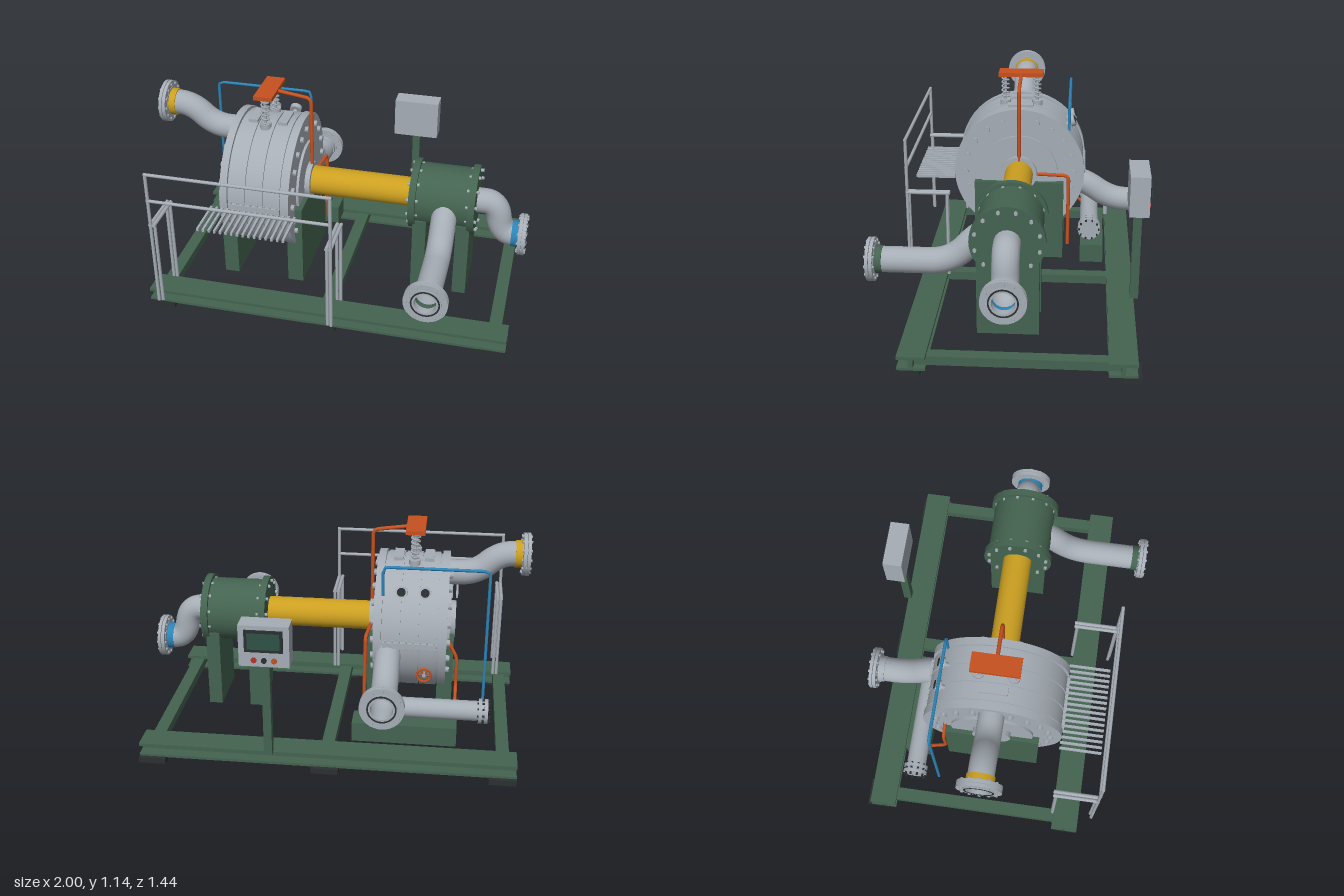
import * as THREE from 'three';
import { mergeGeometries } from 'three/addons/utils/BufferGeometryUtils.js';

const V = (x, y, z) => new THREE.Vector3(x, y, z);
const paint = (name, color, side = THREE.FrontSide) => {
  const m = new THREE.MeshStandardMaterial({ color, side });
  m.name = name;
  return m;
};

export function createModel() {
  const root = new THREE.Group();
  root.name = 'turbineSkid';
  const grey = paint('greySteel', 0xa6adb5, THREE.DoubleSide);
  const green = paint('greenPaint', 0x446350);
  const yellow = paint('yellowPaint', 0xcb9f20);
  const orange = paint('orangePaint', 0xc6511f);
  const blue = paint('bluePaint', 0x2b84b8);
  const black = paint('blackRubber', 0x2c2f31);
  const screenMat = paint('screenGreen', 0x2f5246);
  const red = paint('redButton', 0xb8322a);

  const add = (name, geo, mat, parent = root) => {
    const m = new THREE.Mesh(geo, mat);
    m.name = name;
    parent.add(m);
    return m;
  };
  // box given by its min and max on each axis
  const box = (name, mat, x0, x1, y0, y1, z0, z1) => {
    const m = add(name, new THREE.BoxGeometry(x1 - x0, y1 - y0, z1 - z0), mat);
    m.position.set((x0 + x1) / 2, (y0 + y1) / 2, (z0 + z1) / 2);
    return m;
  };
  // cylinder between two points
  const rod = (name, mat, a, b, r, seg = 16) => {
    const d = b.clone().sub(a);
    const m = add(name, new THREE.CylinderGeometry(r, r, d.length(), seg), mat);
    m.position.copy(a).addScaledVector(d, 0.5);
    m.quaternion.setFromUnitVectors(V(0, 1, 0), d.normalize());
    return m;
  };
  const drum = (name, mat, x0, x1, r, y = 0.605, z = 0) => rod(name, mat, V(x0, y, z), V(x1, y, z), r, 48);
  // straight runs joined by rounded corners
  const pipe = (name, mat, pts, r, bend, seg = 20, steps = 48) => {
    const path = new THREE.CurvePath();
    let from = pts[0];
    for (let i = 1; i < pts.length - 1; i++) {
      const p = pts[i];
      const back = pts[i - 1].clone().sub(p), on = pts[i + 1].clone().sub(p);
      const a = p.clone().addScaledVector(back.clone().normalize(), Math.min(bend, back.length() * 0.49));
      const b = p.clone().addScaledVector(on.clone().normalize(), Math.min(bend, on.length() * 0.49));
      path.add(new THREE.LineCurve3(from, a));
      path.add(new THREE.QuadraticBezierCurve3(a, p, b));
      from = b;
    }
    path.add(new THREE.LineCurve3(from, pts[pts.length - 1]));
    return add(name, new THREE.TubeGeometry(path, steps, r, seg), mat);
  };
  // hex bolts in a circle, standing along z
  const boltCircle = (n, radius, size, length, z, phase = 0) => mergeGeometries(
    Array.from({ length: n }, (_, i) => {
      const a = phase + (i / n) * Math.PI * 2;
      return new THREE.CylinderGeometry(size, size, length, 6).rotateX(Math.PI / 2)
        .translate(Math.cos(a) * radius, Math.sin(a) * radius, z);
    }));
  const ring = (ro, ri, z0, z1) => {
    const s = new THREE.Shape().absarc(0, 0, ro, 0, Math.PI * 2);
    s.holes.push(new THREE.Path().absarc(0, 0, ri, 0, Math.PI * 2, true));
    return new THREE.ExtrudeGeometry(s, { depth: z1 - z0, bevelEnabled: false, curveSegments: 24 }).translate(0, 0, z0);
  };
  // open pipe flange with a colour band; end is the face centre, dir points outward
  const flange = (name, end, dir, bandMat) => {
    const g = new THREE.Group();
    g.name = name;
    add('flangeFace', ring(0.112, 0.058, -0.02, -0.004), grey, g);
    add('flangeBack', ring(0.112, 0.058, -0.04, -0.023), grey, g);
    add('raisedFace', ring(0.08, 0.056, -0.042, 0), grey, g);
    add('gasket', ring(0.074, 0.066, 0, 0.002), black, g);
    add('flangeBolts', boltCircle(12, 0.096, 0.008, 0.052, -0.022), grey, g);
    add('colourBand', ring(0.071, 0.06, -0.078, -0.043), bandMat, g);
    g.position.copy(end);
    g.quaternion.setFromUnitVectors(V(0, 0, 1), dir);
    root.add(g);
  };

  // Skid frame: two I-beam rails, cross beams and feet
  for (const z of [0.45, -0.57]) {
    box('railTop', green, -0.97, 0.97, 0.085, 0.102, z - 0.07, z + 0.07);
    box('railWeb', green, -0.97, 0.97, 0.04, 0.086, z - 0.012, z + 0.012);
    box('railBottom', green, -0.97, 0.97, 0.028, 0.042, z - 0.07, z + 0.07);
    for (const x of [-0.9, 0, 0.9]) {
      const c = z > 0 ? 0.465 : -0.603;
      box('foot', black, x - 0.07, x + 0.07, 0, 0.03, c - 0.058, c + 0.058);
    }
  }
  for (const x of [-0.9, 0, 0.9]) box('crossBeam', green, x - 0.033, x + 0.033, 0.04, 0.088, -0.56, 0.44);

  // Pedestals
  for (const [x0, x1] of [[-0.625, -0.545], [-0.26, -0.175]]) box('turbinePedestal', green, x0, x1, 0.095, 0.555, -0.25, 0.25);
  for (const x of [0.405, 0.635]) box('generatorPedestal', green, x, x + 0.072, 0.095, 0.52, -0.155, 0.155);
  box('coolerSupport', green, -0.66, -0.12, 0.1, 0.205, -0.48, -0.35);

  // Turbine casing: banded drum, end flanges, hubs and bolts
  drum('casing', grey, -0.57, -0.23, 0.348);
  for (const [a, b] of [[-0.538, -0.452], [-0.444, -0.358], [-0.35, -0.264]]) drum('casingBand', grey, a, b, 0.357);
  drum('casingFlangeRight', grey, -0.588, -0.548, 0.365);
  drum('casingFlangeLeft', grey, -0.254, -0.214, 0.365);
  drum('hubLeft', grey, -0.22, -0.2, 0.215);
  drum('hubRight', grey, -0.602, -0.58, 0.215);
  for (const [a, b] of [[-0.215, -0.172], [-0.63, -0.6]]) drum('shaftSeal', grey, a, b, 0.1);
  for (const x of [-0.568, -0.234]) {
    const b = add('casingBolts', boltCircle(20, 0.305, 0.018, 0.076, 0).rotateY(Math.PI / 2), grey);
    b.position.set(x, 0.605, 0);
  }
  for (const s of [-1, 1]) {
    box('splitFlange', grey, -0.54, -0.262, 0.59, 0.62, s * 0.358 - 0.014, s * 0.358 + 0.014);
    for (let i = 0; i < 8; i++) {
      const x = -0.525 + i * 0.0355;
      rod('splitBolt', grey, V(x, 0.58, s * 0.364), V(x, 0.63, s * 0.364), 0.006, 6);
    }
  }

  // Spring-loaded relief gear on top
  box('reliefPlate', orange, -0.455, -0.355, 1.115, 1.137, -0.125, 0.125);
  class Helix extends THREE.Curve {
    getPoint(t, target = new THREE.Vector3()) {
      const a = t * Math.PI * 12;
      return target.set(Math.cos(a) * 0.019, t * 0.145, Math.sin(a) * 0.019);
    }
  }
  const coil = new THREE.TubeGeometry(new Helix(), 120, 0.005, 6);
  for (const z of [-0.09, 0.09]) {
    add('spring', coil, grey).position.set(-0.405, 0.97, z);
    rod('springRod', grey, V(-0.405, 0.93, z), V(-0.405, 1.118, z), 0.008, 10);
    rod('springSeat', grey, V(-0.405, 0.93, z), V(-0.405, 0.972, z), 0.03);
  }
  for (const x of [-0.48, -0.32]) box('liftingPad', grey, x - 0.025, x + 0.025, 0.94, 0.972, -0.07, 0.07);

  // Gauges on the rear shoulder of the casing
  for (const x of [-0.47, -0.35]) {
    rod('gaugeStem', grey, V(x, 0.83, -0.24), V(x, 0.865, -0.285), 0.012);
    rod('gaugeBody', grey, V(x, 0.865, -0.28), V(x, 0.875, -0.305), 0.032, 24);
    rod('gaugeFace', black, V(x, 0.875, -0.304), V(x, 0.876, -0.308), 0.022, 24);
  }

  // Handwheel valve
  rod('valveStem', grey, V(-0.48, 0.43, -0.27), V(-0.48, 0.43, -0.345), 0.01, 10);
  add('handwheel', new THREE.TorusGeometry(0.036, 0.006, 8, 24), orange).position.set(-0.48, 0.43, -0.338);
  for (let i = 0; i < 3; i++) {
    const a = (i * Math.PI) / 3, dx = Math.cos(a) * 0.036, dy = Math.sin(a) * 0.036;
    rod('wheelSpoke', orange, V(-0.48 - dx, 0.43 - dy, -0.338), V(-0.48 + dx, 0.43 + dy, -0.338), 0.004, 6);
  }

  // Drive shaft guard and generator
  drum('shaftGuard', yellow, -0.176, 0.39, 0.078);
  drum('generatorBody', green, 0.4, 0.71, 0.168);
  for (const x of [0.38, 0.69]) {
    drum('generatorFlange', green, x, x + 0.036, 0.187);
    add('generatorBolts', boltCircle(12, 0.163, 0.01, 0.062, 0, Math.PI / 12).rotateY(Math.PI / 2), grey).position.set(x + 0.018, 0.605, 0);
  }

  // Main pipes with flanged ends
  pipe('steamPipe', grey, [V(-0.55, 0.877, 0), V(-0.72, 0.877, 0), V(-0.845, 0.992, 0), V(-0.99, 0.992, 0)], 0.066, 0.085);
  flange('steamFlange', V(-0.998, 0.992, 0), V(-1, 0, 0), yellow);
  pipe('endPipe', grey, [V(0.7, 0.605, 0), V(0.83, 0.605, 0), V(0.86, 0.423, 0), V(0.99, 0.423, 0)], 0.067, 0.09);
  flange('endFlange', V(0.998, 0.423, 0), V(1, 0, 0), blue);
  pipe('frontPipe', grey, [V(0.57, 0.6, 0), V(0.57, 0.6, 0.13), V(0.57, 0.423, 0.29), V(0.57, 0.423, 0.705)], 0.067, 0.11);
  flange('frontFlange', V(0.57, 0.423, 0.715), V(0, 0, 1), green);
  pipe('rearPipe', grey, [V(-0.29, 0.545, -0.22), V(-0.29, 0.545, -0.35), V(-0.29, 0.425, -0.52), V(-0.29, 0.425, -0.705)], 0.067, 0.1);
  flange('rearFlange', V(-0.29, 0.425, -0.715), V(0, 0, -1), grey);
  rod('drainStub', grey, V(-0.29, 0.42, -0.49), V(-0.29, 0.33, -0.49), 0.012, 12);

  // Oil cooler
  drum('coolerShell', grey, -0.8, -0.21, 0.052, 0.273, -0.4);
  for (const x of [-0.815, -0.785, -0.235, -0.205]) drum('coolerFlange', grey, x, x + 0.018, 0.064, 0.273, -0.4);
  for (const x of [-0.795, -0.211]) add('coolerBolts', boltCircle(10, 0.056, 0.006, 0.07, 0).rotateY(Math.PI / 2), black).position.set(x, 0.273, -0.4);

  // Small service lines
  pipe('reliefLine', orange, [V(-0.37, 1.122, 0), V(-0.18, 1.095, 0), V(-0.18, 0.67, 0)], 0.01, 0.03, 10);
  pipe('oilLineLeft', orange, [V(-0.185, 0.605, -0.1), V(-0.17, 0.605, -0.278), V(-0.165, 0.19, -0.278)], 0.01, 0.03, 10);
  pipe('oilLineRight', orange, [V(-0.59, 0.6, -0.25), V(-0.645, 0.5, -0.255), V(-0.645, 0.34, -0.25), V(-0.645, 0.25, -0.36)], 0.009, 0.03, 10);
  pipe('waterLine', blue, [V(-0.255, 0.84, -0.275), V(-0.255, 0.995, -0.275), V(-0.79, 0.995, -0.275), V(-0.79, 0.18, -0.275)], 0.008, 0.025, 10);

  // Walkway with slats and handrail
  for (const s of [-1, 1]) {
    const x = s < 0 ? -0.885 : 0.068;
    const inner = x - s * 0.02;
    rod('railPost', grey, V(x, 0.095, 0.592), V(x, 0.885, 0.592), 0.009, 10);
    rod('lowerPost', grey, V(inner, 0.095, 0.585), V(inner, 0.58, 0.585), 0.009, 10);
    for (const px of [x, inner]) {
      rod('innerPost', grey, V(px, 0.095, 0.375), V(px, 0.58, 0.375), 0.009, 10);
      rod('walkwayBeam', grey, V(px, 0.58, 0.36), V(px, 0.58, 0.6), 0.01, 10);
    }
  }
  for (const y of [0.88, 0.725]) rod('handrail', grey, V(-0.892, y, 0.592), V(0.075, y, 0.592), 0.009, 10);
  for (let i = 0; i < 16; i++) {
    const x = -0.635 + i * 0.0303;
    box('slat', grey, x - 0.006, x + 0.006, 0.572, 0.588, 0.36, 0.58);
  }

  // Control cabinet on its post
  box('cabinetPost', green, 0.265, 0.307, 0.1, 0.63, -0.665, -0.62);
  box('cabinet', grey, 0.16, 0.41, 0.615, 0.832, -0.695, -0.593);
  box('bezel', black, 0.19, 0.38, 0.695, 0.81, -0.703, -0.694);
  box('screen', screenMat, 0.205, 0.365, 0.71, 0.795, -0.706, -0.702);
  [red, black, orange].forEach((mat, i) => {
    const x = 0.335 - i * 0.05;
    rod('button', mat, V(x, 0.65, -0.694), V(x, 0.65, -0.703), 0.014, 16);
  });

  return root;
}
